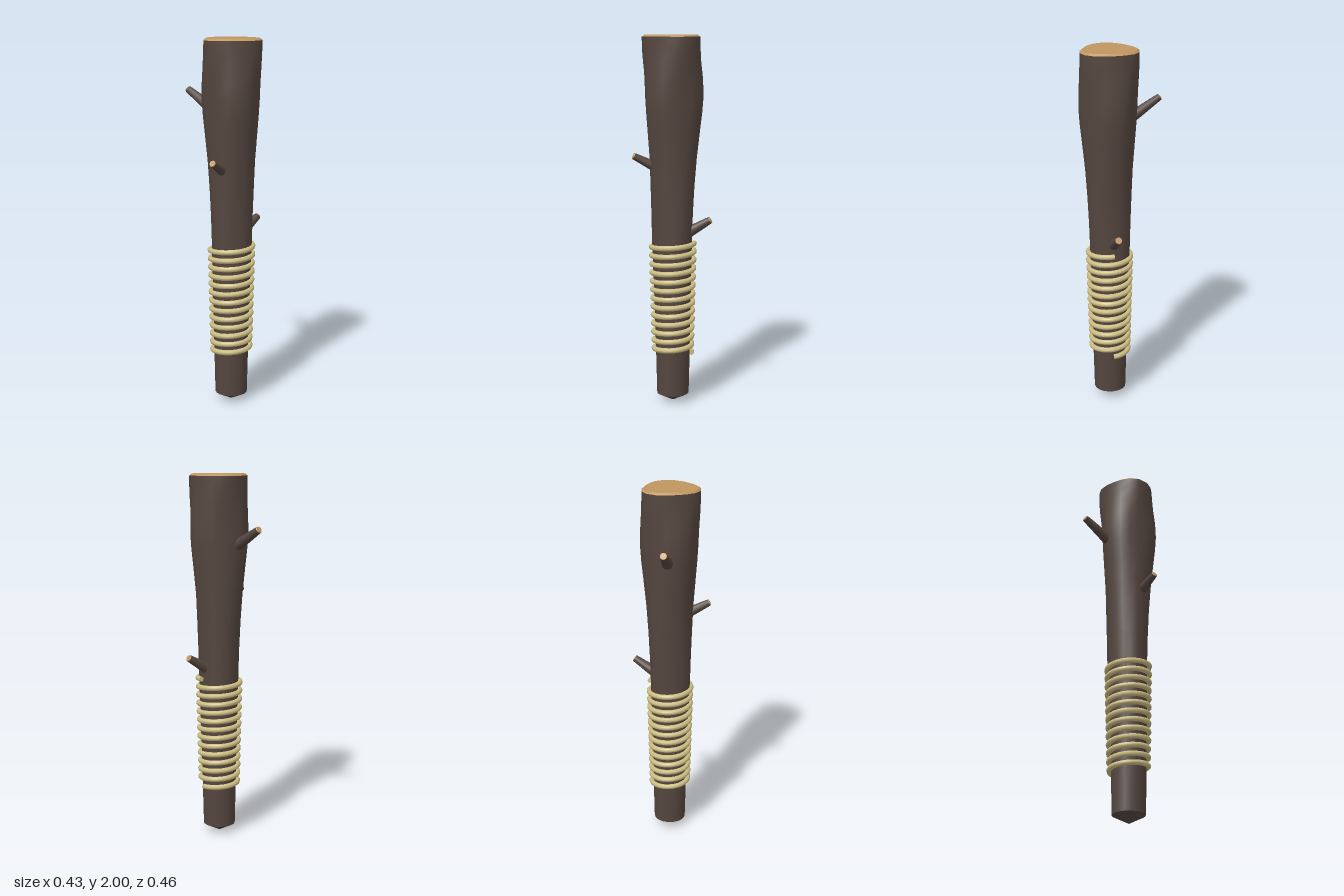
import * as THREE from 'three';

const bark = new THREE.MeshStandardMaterial({ color: 0x55463f, name: 'bark' });
const cutWood = new THREE.MeshStandardMaterial({ color: 0xbf965f, name: 'cutWood' });
const cord = new THREE.MeshStandardMaterial({ color: 0xcdbe83, name: 'cord' });

const SIDES = 18;
const AXIS_Z = 0.073;

// Skin rings of [height, radius, three-lobed swelling], listed bottom to top
function loft(rings) {
  const pos = [], index = [];
  rings.forEach(([y, r, lobe], i) => {
    for (let j = 0; j < SIDES; j++) {
      const t = (j / SIDES) * Math.PI * 2;
      const rad = r + lobe * Math.cos(3 * t);
      pos.push(rad * Math.cos(t), y, AXIS_Z + rad * Math.sin(t));
      if (i === rings.length - 1) continue;
      const a = i * SIDES + j, b = i * SIDES + ((j + 1) % SIDES);
      index.push(a, a + SIDES, b, b, a + SIDES, b + SIDES);
    }
  });
  const g = new THREE.BufferGeometry();
  g.setAttribute('position', new THREE.Float32BufferAttribute(pos, 3));
  g.setIndex(index);
  g.computeVertexNormals();
  return g;
}

function add(parent, name, geometry, material) {
  const mesh = new THREE.Mesh(geometry, material);
  mesh.name = name;
  parent.add(mesh);
  return mesh;
}

// Tapered twig stub from base to tip, with a bevelled cut end
function twig(name, base, tip, r0, r1) {
  const a = new THREE.Vector3(...base), b = new THREE.Vector3(...tip);
  const dir = b.clone().sub(a), len = dir.length();
  const g = new THREE.Group();
  g.name = name;
  const stem = new THREE.CylinderGeometry(r1, r0, len, 12, 1, true);
  add(g, 'twigStem', stem.translate(0, len / 2, 0), bark);
  const end = new THREE.CylinderGeometry(r1 * 0.88, r1, 0.004, 12);
  add(g, 'twigCut', end.translate(0, len + 0.002, 0), cutWood);
  g.position.copy(a);
  g.quaternion.setFromUnitVectors(new THREE.Vector3(0, 1, 0), dir.normalize());
  return g;
}

// Cord wound around the handle
class Winding extends THREE.Curve {
  getPoint(t, target = new THREE.Vector3()) {
    const ang = -t * 13 * Math.PI * 2, r = 0.103 + 0.014 * t;
    return target.set(r * Math.cos(ang), 0.275 + 0.615 * t, AXIS_Z + r * Math.sin(ang));
  }
}

export function createModel() {
  const model = new THREE.Group();
  model.name = 'woodenClub';

  // Trunk, swelling towards the head
  add(model, 'trunk', loft([
    [0.045, 0.088, 0], [0.3, 0.094, 0], [0.6, 0.101, -0.002], [0.9, 0.109, -0.005],
    [1.05, 0.113, -0.004], [1.2, 0.119, -0.002], [1.35, 0.127, 0.002], [1.5, 0.14, 0.006],
    [1.6, 0.149, 0.009], [1.68, 0.154, 0.01], [1.77, 0.155, 0.006], [1.86, 0.155, -0.004],
    [1.94, 0.155, -0.01], [1.99, 0.154, -0.011],
  ]), bark);
  add(model, 'pointedFoot', loft([[0, 0, 0], [0.045, 0.088, 0]]), bark);

  // Sawn top with a bevelled rim
  add(model, 'topRim', loft([[1.99, 0.154, -0.011], [2, 0.142, -0.011]]), cutWood);
  add(model, 'topCut', loft([[2, 0.142, -0.011], [2, 0, 0]]), cutWood);

  // Twigs
  model.add(twig('rightTwig', [-0.08, 1.3, 0.103], [-0.2, 1.365, 0.14], 0.029, 0.018));
  model.add(twig('leftTwig', [0.08, 0.945, 0.07], [0.202, 1.017, 0.07], 0.031, 0.019));
  model.add(twig('backTwig', [-0.025, 1.62, -0.05], [-0.052, 1.715, -0.214], 0.032, 0.019));

  // Cord with closed ends
  const path = new Winding();
  add(model, 'cordWinding', new THREE.TubeGeometry(path, 390, 0.0145, 8), cord);
  [0, 1].forEach((t) => {
    const end = add(model, 'cordEnd', new THREE.CircleGeometry(0.0145, 8), cord);
    const dir = path.getTangent(t).multiplyScalar(t ? 1 : -1);
    end.position.copy(path.getPoint(t));
    end.quaternion.setFromUnitVectors(new THREE.Vector3(0, 0, 1), dir);
  });

  return model;
}
